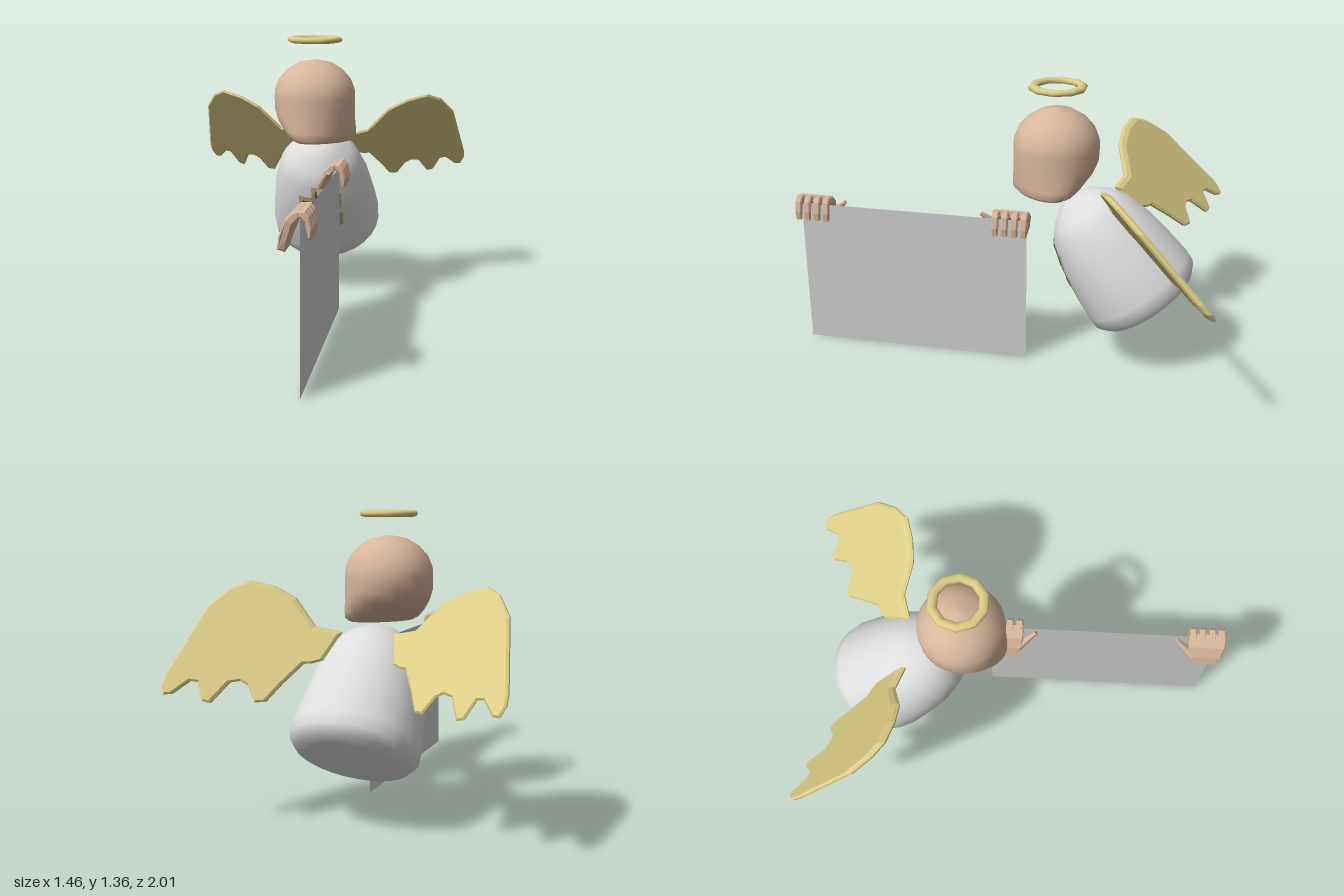
import * as THREE from 'three';

const mat = (name, color, side = THREE.FrontSide) => {
  const m = new THREE.MeshStandardMaterial({ color, side });
  m.name = name;
  return m;
};

export function createModel() {
  const model = new THREE.Group();
  const skin = mat('skin', 0xd8b69b);
  const robeWhite = mat('robe white', 0xdedede);
  const gold = mat('pale gold', 0xdccd86);
  const paper = mat('sheet grey', 0xd0d0d0, THREE.DoubleSide);
  const dark = mat('dark emblem', 0x45443e, THREE.DoubleSide);
  const trim = mat('emblem trim', 0xb4ac78, THREE.DoubleSide);

  const add = (parent, name, geometry, material) => {
    const mesh = new THREE.Mesh(geometry, material);
    mesh.name = name;
    parent.add(mesh);
    return mesh;
  };
  const shapeOf = (pts) => new THREE.Shape(pts.map(([x, y]) => new THREE.Vector2(x, y)));

  // Robe: a leaning bell, turned about its own axis
  const robe = new THREE.Group();
  robe.name = 'robe';
  robe.position.set(0, 0.33, -0.69);
  robe.rotation.x = Math.atan2(0.6, 0.8);
  model.add(robe);
  const profile = [[0, -0.03], [0.195, -0.028], [0.25, -0.012], [0.282, 0.025], [0.284, 0.08],
    [0.27, 0.2], [0.248, 0.336], [0.207, 0.474], [0.165, 0.532], [0.1, 0.588], [0.05, 0.608], [0, 0.614]];
  add(robe, 'robeBody', new THREE.LatheGeometry(profile.map((p) => new THREE.Vector2(...p)), 28), robeWhite);

  // Radius of the robe at a height along its axis
  const radiusAt = (t) => {
    for (let i = 1; i < profile.length; i++) {
      const [r0, t0] = profile[i - 1], [r1, t1] = profile[i];
      if (t <= t1) return r0 + (r1 - r0) * (t - t0) / (t1 - t0);
    }
    return 0;
  };

  // Double-barred emblem, wrapped on the robe front over a wider trim
  const bars = [[0.002, 0.045, 0.155, 0.465], [-0.068, 0.112, 0.262, 0.3], [-0.068, 0.108, 0.372, 0.408]];
  const patch = (name, [x0, x1, t0, t1], grow, lift, material) => {
    const g = new THREE.PlaneGeometry(1, 1, 10, 14);
    const p = g.attributes.position;
    for (let i = 0; i < p.count; i++) {
      const x = THREE.MathUtils.lerp(x0 - grow, x1 + grow, p.getX(i) + 0.5);
      const t = THREE.MathUtils.lerp(t0 - grow, t1 + grow, p.getY(i) + 0.5);
      p.setXYZ(i, x, t, Math.sqrt(radiusAt(t) ** 2 - x * x) + lift);
    }
    g.computeVertexNormals();
    add(robe, name, g, material);
  };
  for (const bar of bars) {
    patch('emblemTrim', bar, 0.02, 0.003, trim);
    patch('emblemBar', bar, 0, 0.006, dark);
  }

  // Head: ellipses stacked upwards, jaw pushed toward the facing diagonal
  // each ring: height, forward shift, half depth, half width
  const rings = [[0.85, 0.085, 0, 0], [0.85, 0.085, 0.09, 0.155], [0.866, 0.075, 0.115, 0.18],
    [0.9, 0.05, 0.143, 0.192], [0.95, 0.018, 0.178, 0.197], [1.0, 0.002, 0.197, 0.2], [1.06, 0, 0.2, 0.2],
    [1.1, 0, 0.197, 0.197], [1.15, 0, 0.177, 0.177], [1.195, 0, 0.137, 0.137], [1.23, 0, 0.08, 0.08], [1.244, 0, 0, 0]];
  const sides = 28, pos = [], index = [];
  rings.forEach(([y, shift, a, b], i) => {
    for (let j = 0; j < sides; j++) {
      const phi = j / sides * Math.PI * 2;
      const u = shift + a * Math.cos(phi), v = b * Math.sin(phi);
      pos.push((u + v) * Math.SQRT1_2, y, (u - v) * Math.SQRT1_2 - 0.24);
      if (i === rings.length - 1) continue;
      const p = i * sides + j, q = i * sides + (j + 1) % sides;
      index.push(p, q, p + sides, q, q + sides, p + sides);
    }
  });
  const headGeo = new THREE.BufferGeometry();
  headGeo.setAttribute('position', new THREE.Float32BufferAttribute(pos, 3));
  headGeo.setIndex(index);
  headGeo.computeVertexNormals();
  add(model, 'head', headGeo, skin);

  // Halo: a flattened ten-sided ring
  const halo = add(model, 'halo', new THREE.TorusGeometry(0.114, 0.023, 8, 10).rotateX(Math.PI / 2).scale(1, 0.68, 1), gold);
  halo.position.set(0, 1.341, -0.24);

  // Wings: feathered slabs slanted backwards and outwards
  const wing = [[0.12, 0.83], [0.23, 0.855], [0.342, 0.972], [0.44, 1.022], [0.543, 1.047], [0.606, 1.02],
    [0.67, 0.945], [0.73, 0.685], [0.73, 0.645], [0.71, 0.608], [0.68, 0.608], [0.63, 0.655], [0.6, 0.65],
    [0.56, 0.58], [0.528, 0.572], [0.484, 0.645], [0.445, 0.65], [0.413, 0.634], [0.366, 0.57], [0.327, 0.57],
    [0.287, 0.634], [0.23, 0.71], [0.2, 0.71], [0.16, 0.72]];
  for (const s of [1, -1]) {
    const g = new THREE.ExtrudeGeometry(shapeOf(wing.map(([x, y]) => [x * s, y])), {
      depth: 0.016, bevelThickness: 0.012, bevelSize: 0.01, bevelOffset: -0.01, bevelSegments: 1 });
    const p = g.attributes.position;
    for (let i = 0; i < p.count; i++) {
      const x = Math.abs(p.getX(i)), y = p.getY(i);
      p.setZ(i, p.getZ(i) - 0.548 - 0.51 * (x - 0.54) + 0.86 * (y - 1.045));
    }
    g.computeVertexNormals();
    add(model, s > 0 ? 'leftWing' : 'rightWing', g, gold);
  }

  // Sheet held upright between the two hands
  const sheet = add(model, 'sheet', new THREE.PlaneGeometry(1.11, 0.73).rotateY(Math.PI / 2), paper);
  sheet.position.set(0.142, 0.365, 0.425);

  // Hands: palm behind the sheet, fingers hooked over its top edge
  const palm = [[0.048, 0.61], [0.08, 0.6], [0.098, 0.66], [0.115, 0.715], [0.14, 0.742],
    [0.14, 0.77], [0.115, 0.767], [0.085, 0.735], [0.06, 0.67]];
  const finger = [[0.12, 0.735], [0.145, 0.745], [0.163, 0.725], [0.176, 0.662], [0.188, 0.66],
    [0.192, 0.7], [0.182, 0.752], [0.165, 0.772], [0.12, 0.77]];
  const slab = (pts, width) => new THREE.ExtrudeGeometry(shapeOf(pts), {
    depth: width - 0.012, bevelThickness: 0.006, bevelSize: 0.006, bevelOffset: -0.006, bevelSegments: 1,
  }).translate(0, 0, 0.006 - width / 2);
  for (const s of [1, -1]) {
    const hand = new THREE.Group();
    hand.name = s > 0 ? 'frontHand' : 'backHand';
    hand.position.z = 0.43;
    model.add(hand);
    const palmGeo = slab(palm, 0.175);
    const p = palmGeo.attributes.position;
    for (let i = 0; i < p.count; i++) {
      p.setZ(i, p.getZ(i) * (0.65 + 0.35 * Math.min(1, (p.getY(i) - 0.6) / 0.1)));
    }
    palmGeo.computeVertexNormals();
    add(hand, 'palm', palmGeo, skin).position.z = s * 0.482;
    [0.415, 0.46, 0.507, 0.551].forEach((d) => {
      add(hand, 'finger', slab(finger, 0.032), skin).position.z = s * d;
    });
    const from = new THREE.Vector3(0.075, 0.665, s * 0.42), to = new THREE.Vector3(0.118, 0.742, s * 0.335);
    const dir = to.clone().sub(from);
    const thumb = add(hand, 'thumb', new THREE.CylinderGeometry(0.01, 0.024, dir.length(), 7), skin);
    thumb.position.copy(from).addScaledVector(dir, 0.5);
    thumb.quaternion.setFromUnitVectors(new THREE.Vector3(0, 1, 0), dir.normalize());
  }

  return model;
}
